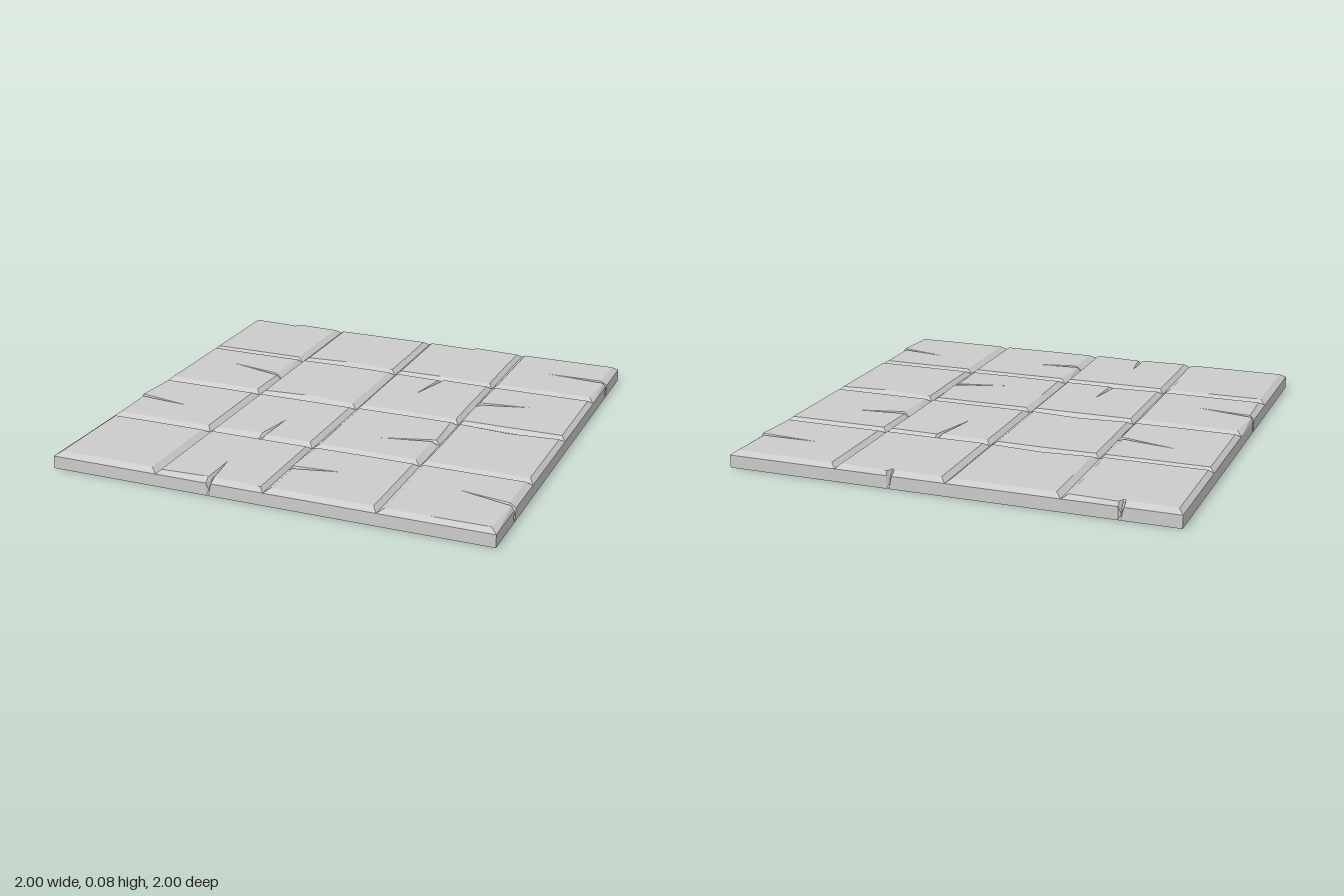
import * as THREE from 'three';

const TOP = 0.075, RIM = 0.057, H = 0.25; // tile top, groove level, half tile

// Worn spots: column, row, side (0 front, 1 right, 2 back, 3 left),
// bevel widths before and after the middle of the side, optional crack tip x, z.
const WEAR = [
  [0, 1, 1, 0.018, 0.035, -0.79, -0.31],
  [3, 1, 3, 0.018, 0.032, 0.75, -0.29],
  [2, 1, 2, 0.018, 0.03, 0.2, -0.26],
  [3, 0, 1, 0.012, 0.03, 0.71, -0.76],
  [0, 2, 3, 0.008, 0.02, -0.73, 0.29],
  [2, 2, 1, 0.032, 0.018, 0.24, 0.31],
  [1, 2, 0, 0.042, 0.028, -0.23, 0.28],
  [2, 3, 3, 0.015, 0.03, 0.23, 0.72],
  [3, 3, 1, 0.012, 0.026, 0.75, 0.7],
  [1, 3, 0, 0.03, 0.036, -0.26, 0.8],
  [0, 0, 2, 0.012, 0.034, -0.75, -0.96],
  [2, 0, 2, 0.012, 0.034, 0.25, -0.96],
  [1, 0, 0, 0.045, 0.045],
  [1, 1, 0, 0.045, 0.045],
  [1, 1, 2, 0.014, 0.014],
  [3, 2, 2, 0.045, 0.045],
];

let seed = 7;
const rand = () => (seed = (seed * 16807) % 2147483647) / 2147483647;

// Point at u along a side, v inward from it, turned to side k
function onSide(k, u, v, y) {
  let x = u, z = H - v;
  for (let i = 0; i < k; i++) [x, z] = [z, -x];
  return new THREE.Vector3(x, y, z);
}

function createTile(col, row, material) {
  const cx = -0.75 + col * 0.5, cz = -0.75 + row * 0.5;
  const pos = [];
  const tri = (a, b, c) => { for (const p of [a, b, c]) pos.push(p.x, p.y, p.z); };
  const quad = (a, b, c, d) => { tri(a, b, c); tri(a, c, d); };
  const outer = [row === 3, col === 3, row === 0, col === 0];
  const rim = [], base = [], edge = [], contour = [], wedges = [];
  const inset = [0, 1, 2, 3].map(() => 0.018 + 0.011 * rand());

  for (let k = 0; k < 4; k++) {
    const wear = WEAR.find(w => w[0] === col && w[1] === row && w[2] === k);
    const cracked = wear && wear.length > 5;
    const mid = inset[k] + 0.004 * (rand() - 0.5);
    const a = wear ? wear[3] : mid, c = wear ? wear[4] : mid;
    const notch = cracked && outer[k];

    // Groove-level outline, with a nick where a crack reaches the slab's side
    const us = [-H, -0.012, 0, 0.012];
    us.forEach((u, i) => {
      const nick = notch && i === 2;
      rim.push(onSide(k, u, nick ? 0.007 : 0, nick ? 0.025 : RIM));
      base.push(onSide(k, u, 0, 0));
    });

    // Upper outline inside the bevel
    const corner = onSide(k, -H + inset[(k + 3) % 4], inset[k], TOP);
    const A = onSide(k, -0.012, a, TOP), C = onSide(k, 0.012, c, TOP);
    const B = onSide(k, 0, (a + c) / 2, cracked ? 0.061 : TOP);
    edge.push(corner, A, B, C);
    if (cracked) {
      const tip = new THREE.Vector3(wear[5] - cx, TOP, wear[6] - cz);
      contour.push(corner, A, tip, C);
      wedges.push([A, B, tip], [B, C, tip]);
    } else contour.push(corner, A, B, C);
  }

  // Bevels, plus walls where the tile lies on the slab's border
  for (let i = 0; i < 16; i++) {
    const j = (i + 1) % 16;
    quad(rim[i], rim[j], edge[j], edge[i]);
    if (outer[Math.floor(i / 4)]) quad(base[i], base[j], rim[j], rim[i]);
  }
  // Top face and crack slopes
  const flat = contour.map(p => new THREE.Vector2(p.x, -p.z));
  for (const [a, b, c] of THREE.ShapeUtils.triangulateShape(flat, [])) {
    tri(contour[a], contour[b], contour[c]);
  }
  for (const w of wedges) tri(...w);

  const geometry = new THREE.BufferGeometry();
  geometry.setAttribute('position', new THREE.Float32BufferAttribute(pos, 3));
  geometry.computeVertexNormals();
  const tile = new THREE.Mesh(geometry, material);
  tile.position.set(cx, 0, cz);
  tile.name = `floorTile${row + 1}_${col + 1}`;
  return tile;
}

export function createModel() {
  const floor = new THREE.Group();
  floor.name = 'tiledFloor';
  // The slab is an open shell underneath
  const material = new THREE.MeshStandardMaterial({
    color: 0xcccccc, flatShading: true, side: THREE.DoubleSide,
  });
  for (let row = 0; row < 4; row++) {
    for (let col = 0; col < 4; col++) floor.add(createTile(col, row, material));
  }
  return floor;
}
